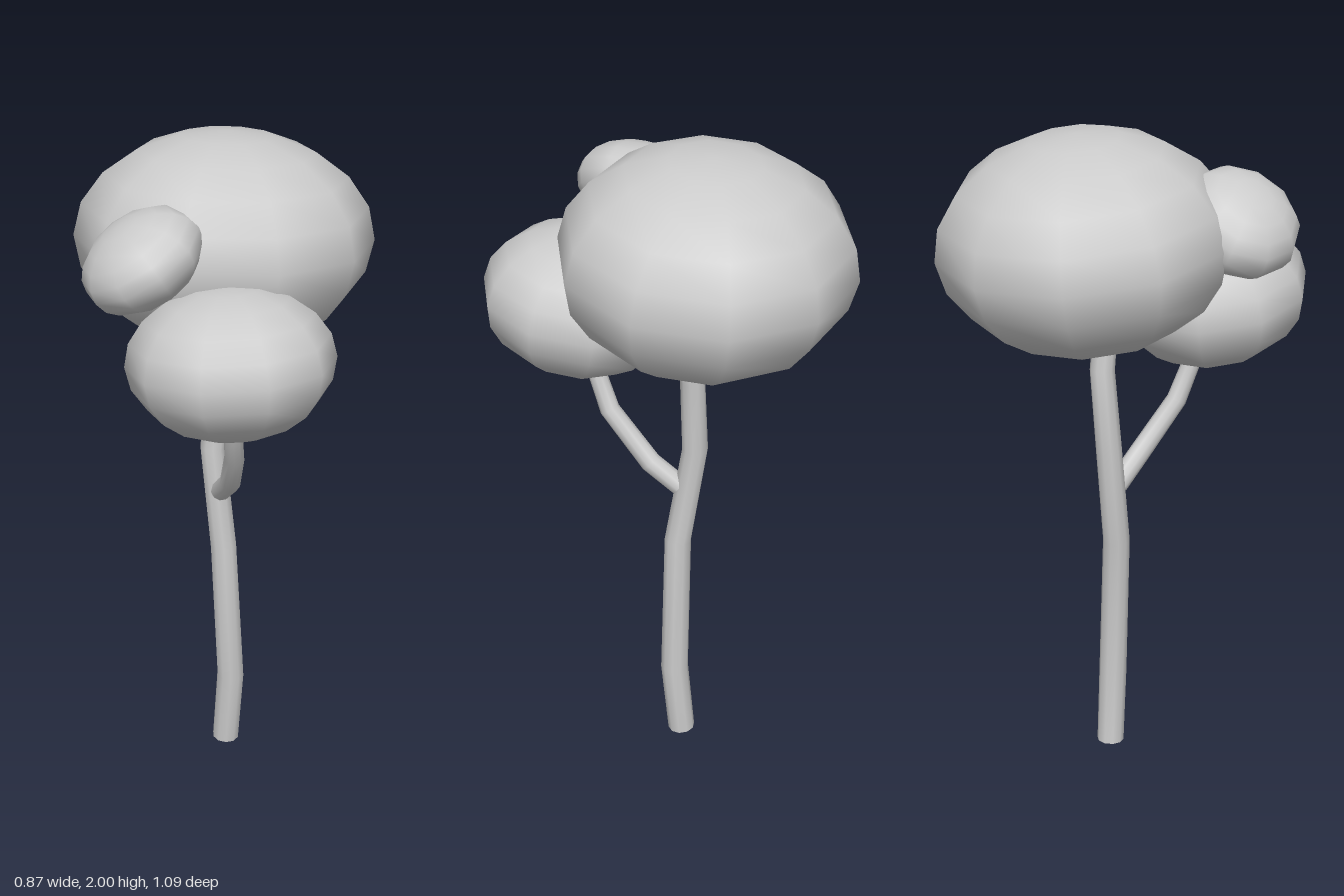
import * as THREE from 'three';

const material = new THREE.MeshStandardMaterial({ color: 0xcccccc });
const UP = new THREE.Vector3(0, 1, 0);

// Capped limb: a cylinder whose rings are moved onto points [x, y, z, radius]
function limb(name, rings) {
  const n = rings.length - 1;
  const pts = rings.map(([x, y, z]) => new THREE.Vector3(x, y, z));
  const turns = pts.map((p, i) => {
    const dir = new THREE.Vector3();
    if (i > 0) dir.add(p.clone().sub(pts[i - 1]).normalize());
    if (i < n) dir.add(pts[i + 1].clone().sub(p).normalize());
    return new THREE.Quaternion().setFromUnitVectors(UP, dir.normalize());
  });
  const geo = new THREE.CylinderGeometry(1, 1, 1, 10, n);
  const { position, normal } = geo.attributes;
  const v = new THREE.Vector3();
  for (let i = 0; i < position.count; i++) {
    v.fromBufferAttribute(position, i);
    const row = Math.round((v.y + 0.5) * n);
    v.setY(0).multiplyScalar(rings[row][3]).applyQuaternion(turns[row]).add(pts[row]);
    position.setXYZ(i, v.x, v.y, v.z);
    v.fromBufferAttribute(normal, i).applyQuaternion(turns[row]);
    normal.setXYZ(i, v.x, v.y, v.z);
  }
  const mesh = new THREE.Mesh(geo, material);
  mesh.name = name;
  return mesh;
}

// Flattened, slightly tilted ball of leaves
function foliage(name, center, radii, tilt) {
  const mesh = new THREE.Mesh(new THREE.SphereGeometry(1, 10, 10), material);
  mesh.name = name;
  mesh.position.set(...center);
  mesh.scale.set(...radii);
  mesh.rotation.set(...tilt);
  return mesh;
}

export function createModel() {
  const tree = new THREE.Group();
  tree.name = 'tree';

  // Trunk with gentle bends
  tree.add(limb('trunk', [
    [0, 0, -0.07, 0.042],
    [0.015, 0.25, -0.052, 0.043],
    [-0.007, 0.72, -0.05, 0.041],
    [-0.038, 1.04, -0.09, 0.039],
    [-0.008, 1.29, -0.095, 0.037],
    [0.01, 1.5, -0.065, 0.035],
  ]));

  // Side branch carrying the lower foliage
  tree.add(limb('branch', [
    [-0.015, 0.91, -0.05, 0.032],
    [0.01, 0.98, 0.035, 0.032],
    [0.017, 1.13, 0.17, 0.03],
    [0.01, 1.27, 0.227, 0.027],
    [0, 1.42, 0.26, 0.025],
  ]));

  // Foliage
  tree.add(foliage('mainCrown', [0, 1.69, -0.142], [0.437, 0.312, 0.426], [-0.09, 0, -0.03]));
  tree.add(foliage('lowerFoliage', [0.003, 1.475, 0.266], [0.295, 0.217, 0.297], [-0.12, 0, 0.04]));
  tree.add(foliage('smallFoliage', [-0.236, 1.757, 0.215], [0.182, 0.12, 0.18], [0.12, 0, 0.56]));

  return tree;
}
